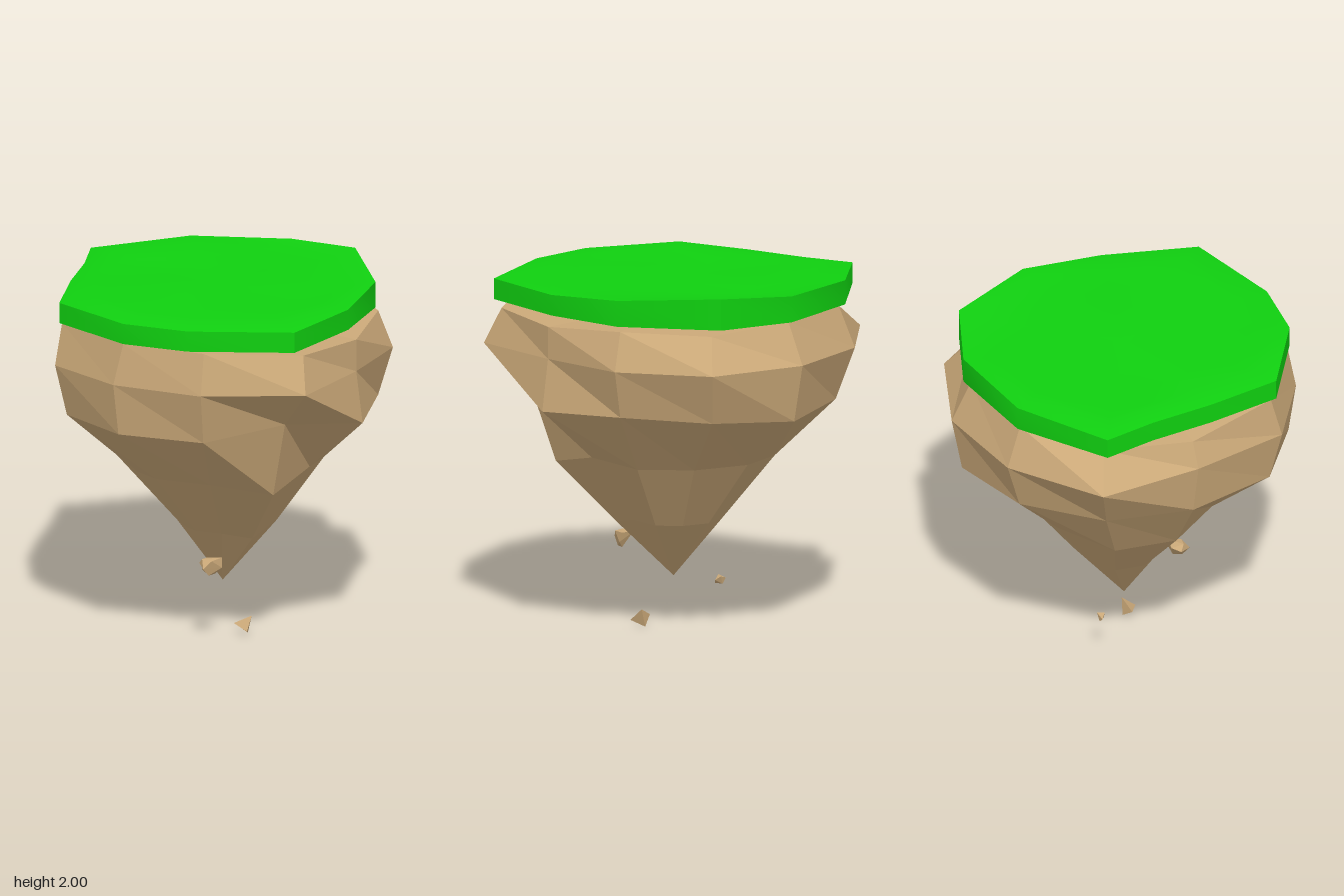
import * as THREE from 'three';
import { toCreasedNormals } from 'three/addons/utils/BufferGeometryUtils.js';
import { ConvexGeometry } from 'three/addons/geometries/ConvexGeometry.js';

const V = (x, y, z) => new THREE.Vector3(x, y, z);

// Skin closed cross-sections, listed from the top down; a ring may shrink to a point.
function loft(rings) {
  const pos = [];
  const tri = (a, b, c) => {
    if (a.equals(b) || b.equals(c) || c.equals(a)) return;
    for (const p of [a, b, c]) pos.push(p.x, p.y, p.z);
  };
  for (let i = 0; i < rings.length - 1; i++) {
    const up = rings[i], lo = rings[i + 1], n = up.length;
    for (let j = 0; j < n; j++) {
      const k = (j + 1) % n;
      tri(lo[j], up[j], up[k]);
      tri(lo[j], up[k], lo[k]);
    }
  }
  const g = new THREE.BufferGeometry();
  g.setAttribute('position', new THREE.Float32BufferAttribute(pos, 3));
  g.computeVertexNormals();
  return g;
}

const pointRing = (p, n) => Array.from({ length: n }, () => p.clone());

// Level ring from x,z pairs, starting at the back and passing the left (+x) side;
// own holds the heights of corners that leave the level
const ring = (y, own, xz) =>
  Array.from({ length: xz.length / 2 }, (_, i) => V(xz[2 * i], own[i] ?? y, xz[2 * i + 1]));

// Faceted rock: three rings round the shoulder, one at the waist, and one
// part of the way from the waist to the off-centre tip
function rockGeometry() {
  const top = ring(1.82, { 1: 1.78, 2: 1.8, 3: 1.77, 4: 1.79, 8: 1.74, 9: 1.75 },
    [-0.03, -0.85, 0.43, -0.75, 0.8, -0.41, 0.93, 0.06, 0.87, 0.54, 0.43, 0.87,
      -0.05, 0.92, -0.55, 0.72, -0.75, 0.24, -0.75, -0.26, -0.52, -0.68]);
  const shoulder = ring(1.59, {},
    [-0.04, -0.96, 0.53, -0.88, 0.87, -0.45, 0.93, 0.06, 0.93, 0.62, 0.44, 0.92,
      -0.09, 0.96, -0.56, 0.78, -0.8, 0.26, -0.97, -0.31, -0.57, -0.76]);
  const belly = ring(1.3, { 0: 1.27, 2: 1.32, 4: 1.36 },
    [-0.03, -0.9, 0.45, -0.78, 0.8, -0.41, 0.97, 0.06, 0.72, 0.48, 0.41, 0.84,
      -0.08, 0.92, -0.52, 0.72, -0.76, 0.24, -0.77, -0.25, -0.5, -0.68]);
  const waist = ring(0.97, { 3: 1, 4: 0.92, 7: 0.95, 8: 0.94, 9: 0.94 },
    [0, -0.53, 0.32, -0.46, 0.55, -0.25, 0.63, 0.05, 0.6, 0.4, 0.29, 0.55,
      -0.03, 0.59, -0.22, 0.46, -0.5, 0.2, -0.53, -0.15, -0.28, -0.42]);
  const tip = V(0.07, 0.27, 0.03);
  const root = waist.map(p => p.clone().lerp(tip, 0.52).add(V(0.02, 0, -0.02)));
  const n = top.length;
  return loft([pointRing(V(0, 1.81, 0), n), top, shoulder, belly, waist, root, pointRing(tip, n)]);
}

// Grass slab: gently bumpy top that rolls down to the rim, straight wall and flat underside
function grassGeometry() {
  const rim = ring(1.94, { 0: 1.97, 1: 2, 2: 1.97, 11: 1.96 },
    [-0.02, -0.89, 0.42, -0.82, 0.8, -0.38, 0.89, 0.08, 0.86, 0.62, 0.34, 0.89,
      -0.04, 0.935, -0.55, 0.75, -0.71, 0.35, -0.82, 0, -0.94, -0.28, -0.55, -0.7]);
  const inner = s => rim.map(p => {
    const x = p.x * s, z = p.z * s;
    const bump = 1.962 + 0.012 * Math.sin(6 * x + 1) * Math.cos(5 * z);
    return V(x, THREE.MathUtils.lerp(bump, p.y, s ** 8), z);
  });
  const base = rim.map(p => V(p.x, 1.825, p.z));
  const n = rim.length;
  const slab = loft([pointRing(V(0, 1.96, 0), n), ...[0.35, 0.6, 0.8, 0.92].map(inner), rim,
    base, pointRing(V(0, 1.825, 0), n)]);
  return toCreasedNormals(slab, 0.6);
}

export function createModel() {
  const island = new THREE.Group();
  island.name = 'floatingIsland';
  const rockMat = new THREE.MeshStandardMaterial({ color: 0xcaa878, flatShading: true });
  const grassMat = new THREE.MeshStandardMaterial({ color: 0x10d010 });

  const add = (name, geometry, material) => {
    const mesh = new THREE.Mesh(geometry, material);
    mesh.name = name;
    island.add(mesh);
  };
  const addStone = (name, corners) =>
    add(name, new ConvexGeometry(corners.map(c => V(...c))), rockMat);

  add('rock', rockGeometry(), rockMat);
  add('grass', grassGeometry(), grassMat);

  // Loose stones drifting below the tip
  addStone('largeStone', [[0.11, 0.455, 0.36], [0.14, 0.485, 0.38], [0.22, 0.485, 0.3],
    [0.13, 0.475, 0.31], [0.225, 0.43, 0.31], [0.19, 0.395, 0.33], [0.18, 0.395, 0.38],
    [0.17, 0.44, 0.42], [0.2, 0.48, 0.38]]);
  addStone('smallStone', [[-0.16, 0.255, -0.14], [-0.125, 0.275, -0.12], [-0.085, 0.25, -0.14],
    [-0.13, 0.225, -0.15], [-0.1, 0.23, -0.12], [-0.11, 0.27, -0.16]]);
  addStone('stoneShard', [[0.18, 0.055, 0.1], [0.27, 0.1, 0.06], [0.285, 0.03, 0.14], [0.245, 0, 0.06]]);

  return island;
}
